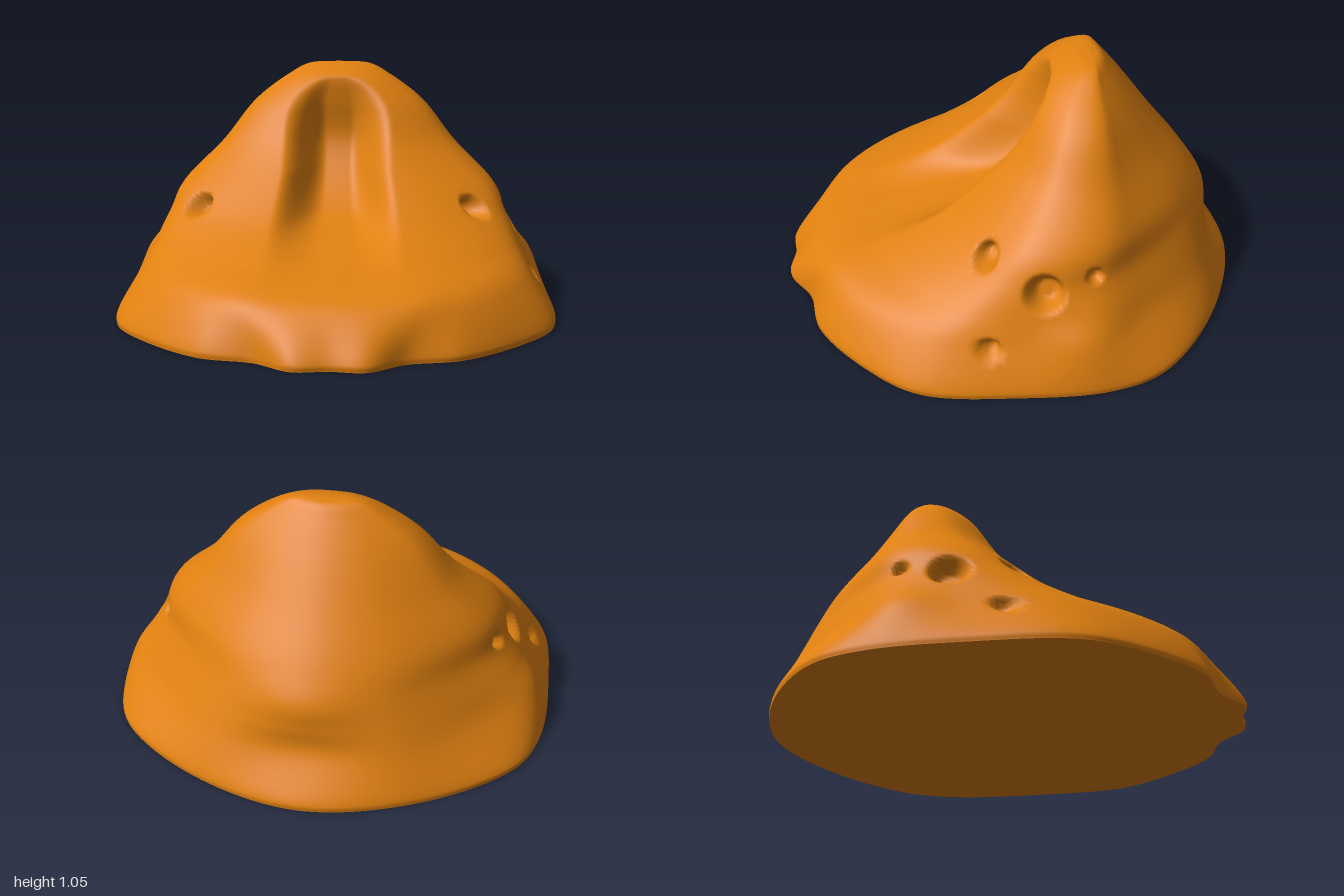
import * as THREE from 'three';

const AROUND = 280, ROWS = 99; // mesh resolution
const { smoothstep } = THREE.MathUtils;
const orange = new THREE.MeshStandardMaterial({ color: 0xe08010 });
orange.name = 'orange';

// Half outline of the foot, front to back
const foot = [
  [0, 0.975], [0.14, 0.985], [0.29, 0.885], [0.5, 0.83], [0.75, 0.62], [0.9, 0.4],
  [0.94, 0], [0.92, -0.38], [0.82, -0.61], [0.45, -0.88], [0, -1],
];

// Unit half contour shared by every height: 1 is the front or the side, -1 the back
const contour = [
  [0, 1], [0.2, 0.99], [0.4, 0.95], [0.6, 0.84], [0.8, 0.65], [0.95, 0.4],
  [1, 0], [0.95, -0.28], [0.78, -0.52], [0.4, -0.87], [0, -1],
];

// Height, front z, half width, z of the widest place, back z
const levels = [
  [0.2, 0.84, 0.85, -0.05, -0.88],
  [0.3, 0.58, 0.8, -0.08, -0.875],
  [0.4, 0.36, 0.755, -0.11, -0.865],
  [0.52, 0.2, 0.7, -0.18, -0.79],
  [0.7, 0.03, 0.525, -0.27, -0.65],
  [0.88, -0.08, 0.38, -0.31, -0.515],
  [0.99, -0.18, 0.235, -0.33, -0.43],
  [1.04, -0.28, 0.14, -0.34, -0.385],
  [1.05, -0.34, 0, -0.34, -0.34],
];

// Pockets on both flanks
const pockets = [
  { at: [0.58, 0.45, 0.11], r: 0.065, depth: 0.07 },
  { at: [0.74, 0.38, -0.11], r: 0.09, depth: 0.08 },
  { at: [0.68, 0.42, -0.31], r: 0.04, depth: 0.04 },
  { at: [0.84, 0.18, 0.12], r: 0.05, depth: 0.05 },
];

// Smooth closed ring from a half outline mirrored to -x
function ring(y, half) {
  const other = half.slice(1, -1).reverse().map(([x, z]) => [-x, z]);
  const points = [...half, ...other].map(([x, z]) => new THREE.Vector3(x, y, z));
  const curve = new THREE.CatmullRomCurve3(points, true);
  return Array.from({ length: AROUND }, (_, i) => curve.getPoint(i / AROUND));
}

// Contour at one height; low down the back corners swell to meet the foot
function levelRing([y, front, width, middle, back]) {
  const swell = 1 + 0.4 * Math.max(0, 0.4 - y);
  return ring(y, contour.map(([u, v]) => {
    const k = v < 0 && u > 0 ? swell : 1;
    return [u * k * width, middle + Math.abs(v) * k * ((v > 0 ? front : back) - middle)];
  }));
}

// Round-topped groove down the front, deepest at mid height
function carveGroove(p) {
  if (p.z < -0.25 || p.y > 0.99) return;
  const arch = Math.sqrt(1 - Math.max(0, (p.y - 0.8) / 0.2) ** 2);
  const width = (0.21 + 0.15 * Math.max(0, 0.6 - p.y)) * arch;
  const depth = 0.27 * smoothstep(p.y, 0.2, 0.42) * (1 - ((p.y - 0.45) / 0.54) ** 2);
  p.z -= depth * (1 - smoothstep(Math.abs(p.x), width * 0.25, width * 1.15));
}

// Push the surface inwards inside each pocket
function carvePockets(p) {
  for (const { at: [x, y, z], r, depth } of pockets) {
    const centre = new THREE.Vector3(x * (Math.sign(p.x) || 1), y, z);
    const inward = new THREE.Vector3(-centre.x, -0.25, -0.3 - z).normalize();
    const offset = p.clone().sub(centre);
    const along = offset.dot(inward);
    if (Math.abs(along) > 0.15) continue;
    const distance = offset.addScaledVector(inward, -along).length();
    p.addScaledVector(inward, depth * (1 - smoothstep(distance, r * 0.4, r)));
  }
}

// Skin lofted from the foot to the summit
function moundGeometry() {
  const rings = [ring(0, foot), ring(0.025, foot), ...levels.map(levelRing)];
  const columns = rings[0].map((_, i) => new THREE.CatmullRomCurve3(rings.map((r) => r[i])));
  const positions = [], index = [];
  for (let j = 0; j <= ROWS; j++) {
    for (const column of columns) {
      const p = column.getPoint(j / ROWS);
      carveGroove(p);
      carvePockets(p);
      positions.push(p.x, Math.max(0, p.y), p.z);
    }
  }
  for (let j = 0; j < ROWS; j++) {
    for (let i = 0; i < AROUND; i++) {
      const a = j * AROUND + i, b = j * AROUND + (i + 1) % AROUND;
      const c = a + AROUND, d = b + AROUND;
      index.push(a, b, c, b, d, c);
    }
  }
  const geometry = new THREE.BufferGeometry();
  geometry.setAttribute('position', new THREE.Float32BufferAttribute(positions, 3));
  geometry.setIndex(index);
  geometry.computeVertexNormals();
  return geometry;
}

// Flat sheet in the foot outline, facing the ground
function undersideGeometry() {
  const outline = ring(0, foot).map((p) => new THREE.Vector2(p.x, p.z));
  return new THREE.ShapeGeometry(new THREE.Shape(outline)).rotateX(Math.PI / 2);
}

export function createModel() {
  const group = new THREE.Group();
  group.name = 'groovedMound';

  const mound = new THREE.Mesh(moundGeometry(), orange);
  mound.name = 'mound';
  const underside = new THREE.Mesh(undersideGeometry(), orange);
  underside.name = 'underside';

  group.add(mound, underside);
  return group;
}
